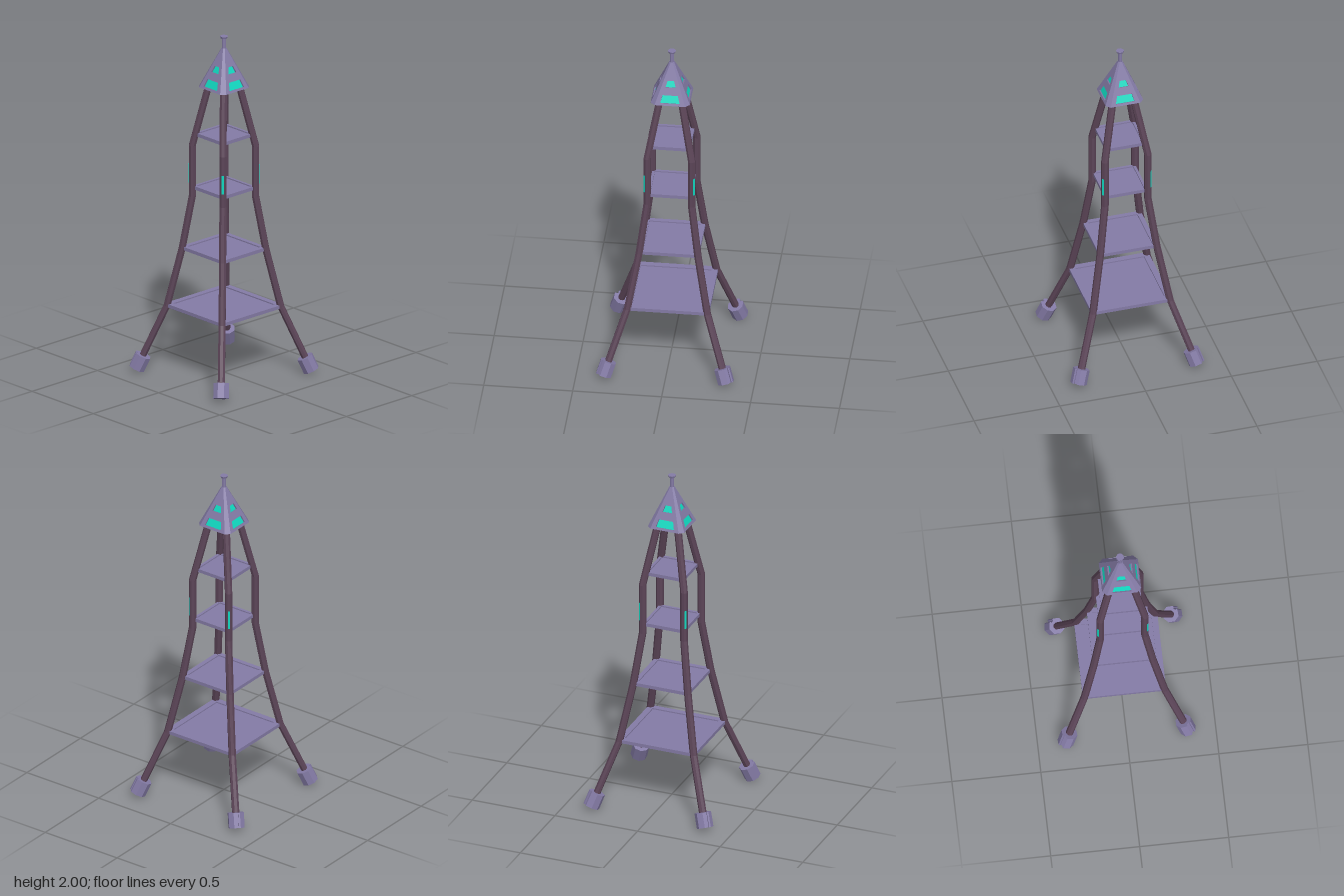
import * as THREE from 'three';

const mat = (color, side = THREE.FrontSide) =>
  new THREE.MeshStandardMaterial({ color, flatShading: true, side });
const metal = mat(0x847ba6, THREE.DoubleSide);
const legMat = mat(0x5c4558, THREE.DoubleSide);
const glow = mat(0x10d8c0, THREE.DoubleSide);

function add(parent, name, geo, material, x = 0, y = 0, z = 0) {
  const m = new THREE.Mesh(geo, material);
  m.name = name;
  m.position.set(x, y, z);
  parent.add(m);
  return m;
}

// Leg path: height and offset along both x and z
const path = [[1.72, 0.058], [1.35, 0.125], [1.05, 0.125], [0.74, 0.165], [0.4, 0.224], [0.06, 0.333]];

function legGeometry() {
  const g = new THREE.CylinderGeometry(0.0215, 0.0215, 1, 8, path.length - 1, true, Math.PI / 8);
  const p = g.attributes.position;
  for (let i = 0; i < p.count; i++) {
    const [y, a] = path[Math.floor(i / 9)];
    p.setXYZ(i, p.getX(i) + a, y, p.getZ(i) + a);
  }
  return g;
}

// Octagonal foot with a groove on its outward face
function footGeometry() {
  const r = 0.047, depth = 0.086, pts = [];
  for (let k = 0; k < 8; k++) {
    const t = Math.PI / 8 + k * Math.PI / 4;
    pts.push(new THREE.Vector2(r * Math.cos(t), r * Math.sin(t)));
    if (k === 1) {
      const f = r * Math.cos(Math.PI / 8);
      for (const [x, y] of [[0.008, f], [0.008, f - 0.008], [-0.008, f - 0.008], [-0.008, f]])
        pts.push(new THREE.Vector2(x, y));
    }
  }
  return new THREE.ExtrudeGeometry(new THREE.Shape(pts), { depth, bevelEnabled: false })
    .translate(0, 0, -depth / 2);
}

function makeLeg() {
  const leg = new THREE.Group();
  leg.name = 'leg';
  add(leg, 'legTube', legGeometry(), legMat);
  const foot = add(leg, 'foot', footGeometry(), metal, 0.332, 0.062, 0.332);
  foot.lookAt(0.332 + 0.109, 0.062 - 0.34, 0.332 + 0.109);
  // Lit strip on the outward face
  const o = 0.125 + 0.0198 * Math.SQRT1_2;
  const strip = add(leg, 'legLight', new THREE.BoxGeometry(0.012, 0.11, 0.002), glow, o, 1.185, o);
  strip.rotation.y = Math.PI / 4;
  return leg;
}

// Square tray with a raised rim
function makePlatform(y, half, rim) {
  const g = new THREE.Group();
  g.name = 'platform';
  g.position.y = y;
  const square = (S, h) => {
    const s = new S();
    s.moveTo(-h, -h); s.lineTo(h, -h); s.lineTo(h, h); s.lineTo(-h, h); s.closePath();
    return s;
  };
  const frame = square(THREE.Shape, half);
  frame.holes.push(square(THREE.Path, half - rim));
  const geo = new THREE.ExtrudeGeometry(frame, { depth: 0.02, bevelEnabled: false });
  add(g, 'platformRim', geo.rotateX(-Math.PI / 2).translate(0, -0.01, 0), metal);
  const w = 2 * (half - rim);
  add(g, 'platformFloor', new THREE.BoxGeometry(w, 0.013, w), metal, 0, -0.0035, 0);
  return g;
}

// Head: four sloped panels with windows, joined by narrow corner faces
const y0 = 1.7, y1 = 1.93, r0 = 0.11, r1 = 0.013, w0 = 0.086, w1 = 0.006;
const slope = Math.hypot(y1 - y0, r0 - r1);

function trapezoid(S, bottom, top, halfBottom, halfTop) {
  const k = slope / (y1 - y0), a = (bottom - y0) * k, b = (top - y0) * k;
  return new S([[-halfBottom, a], [halfBottom, a], [halfTop, b], [-halfTop, b]]
    .map(([x, y]) => new THREE.Vector2(x, y)));
}

function makeHeadSide() {
  const side = new THREE.Group();
  side.name = 'headSide';
  const panel = new THREE.Group();
  panel.name = 'headPanel';
  panel.position.set(0, y0, r0);
  panel.rotation.x = -Math.atan2(r0 - r1, y1 - y0);
  side.add(panel);

  const shape = trapezoid(THREE.Shape, y0, y1, w0, w1);
  for (const win of [[1.713, 1.755, 0.055, 0.043], [1.797, 1.832, 0.029, 0.018]]) {
    shape.holes.push(trapezoid(THREE.Path, ...win));
    add(panel, 'window', new THREE.ShapeGeometry(trapezoid(THREE.Shape, ...win)), glow, 0, 0, -0.009);
  }
  const geo = new THREE.ExtrudeGeometry(shape, { depth: 0.01, bevelEnabled: false });
  add(panel, 'panelWall', geo, metal, 0, 0, -0.01);

  const corner = new THREE.PlaneGeometry(1, 1);
  [[w1, y1, r1], [r1, y1, w1], [w0, y0, r0], [r0, y0, w0]]
    .forEach((v, i) => corner.attributes.position.setXYZ(i, ...v));
  add(side, 'headCorner', corner, metal);
  return side;
}

export function createModel() {
  const model = new THREE.Group();
  model.name = 'tower';

  for (let k = 0; k < 4; k++) {
    for (const part of [makeLeg(), makeHeadSide()]) {
      part.rotation.y = k * Math.PI / 2;
      model.add(part);
    }
  }

  for (const p of [[0.4, 0.234, 0.034], [0.74, 0.17, 0.026], [1.1, 0.124, 0.015], [1.415, 0.115, 0.015]])
    model.add(makePlatform(...p));

  // Head underside
  const base = new THREE.Shape([[r0, -w0], [r0, w0], [w0, r0], [-w0, r0], [-r0, w0], [-r0, -w0], [-w0, -r0], [w0, -r0]]
    .map(([x, y]) => new THREE.Vector2(x, y)));
  add(model, 'headFloor', new THREE.ShapeGeometry(base).rotateX(Math.PI / 2), metal, 0, y0, 0);

  // Finial
  const oct = (rt, rb, h) => new THREE.CylinderGeometry(rt, rb, h, 8, 1, false, Math.PI / 8);
  add(model, 'finialPost', oct(0.012, 0.012, 0.08), metal, 0, 1.955, 0);
  add(model, 'finialCap', oct(0.023, 0.019, 0.012), metal, 0, 1.994, 0);
  return model;
}
